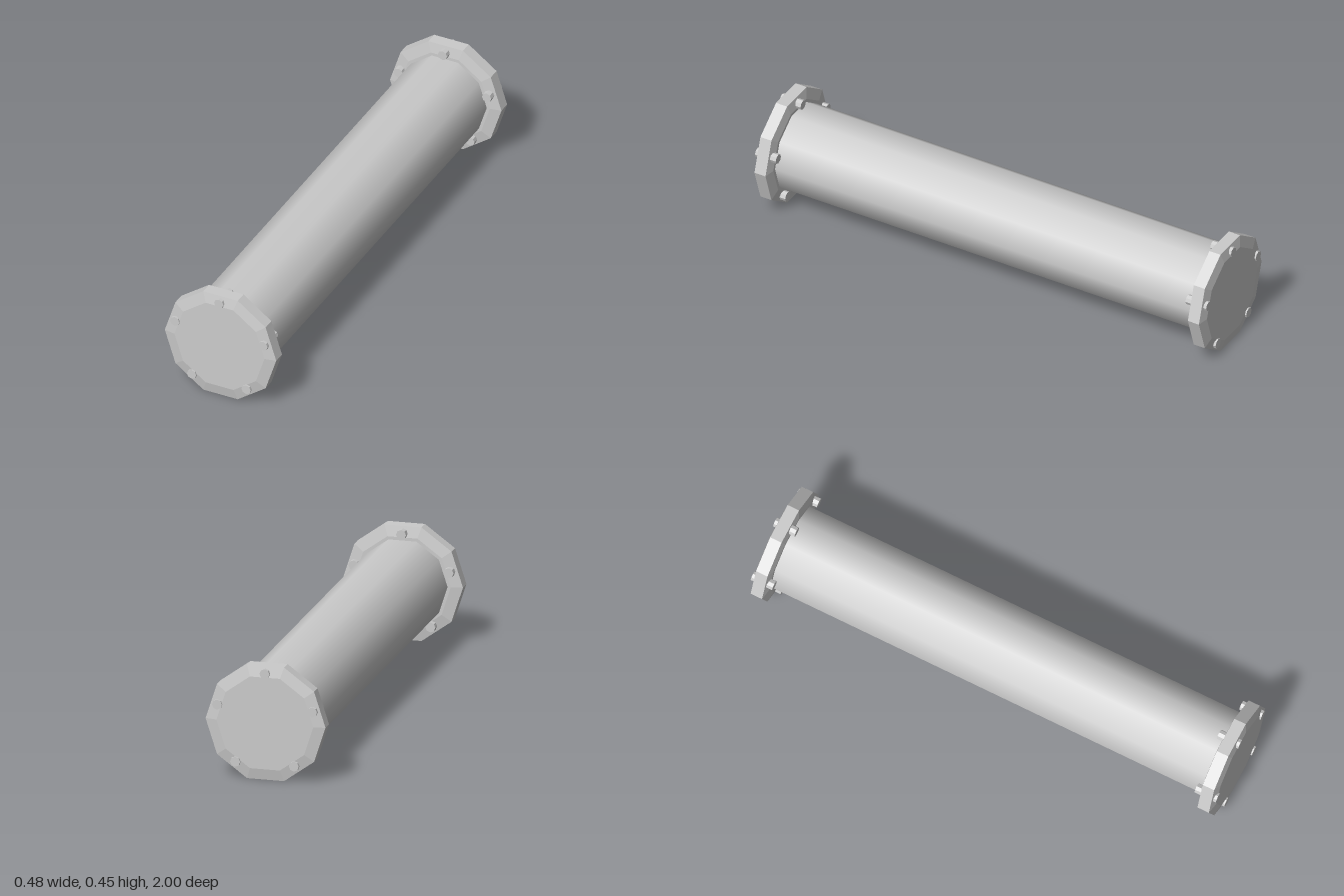
import * as THREE from 'three';

const CENTER_Y = 0.2275, SIDES = 10;

export function createModel() {
  const model = new THREE.Group();
  model.name = 'flangedPipe';
  const smooth = new THREE.MeshStandardMaterial({ color: 0xcccccc });
  const flat = new THREE.MeshStandardMaterial({ color: 0xcccccc, flatShading: true });

  // Ten-sided pipe body, smooth along its length
  const pipeGeo = new THREE.CylinderGeometry(0.18, 0.18, 1.9, SIDES, 1, false, Math.PI / 2);
  pipeGeo.rotateX(Math.PI / 2);
  const pipe = new THREE.Mesh(pipeGeo, smooth);
  pipe.name = 'pipe';
  pipe.position.y = CENTER_Y;
  model.add(pipe);

  // Closed end plate with shallow bevels on both faces
  const profile = [[0, 0.928], [0.193, 0.928], [0.239, 0.936], [0.239, 0.985], [0.193, 0.994], [0, 0.994]]
    .map(([r, z]) => new THREE.Vector2(r, z));
  const flangeGeo = new THREE.LatheGeometry(profile, SIDES, Math.PI / 2);
  flangeGeo.rotateX(Math.PI / 2);

  // Bolt running through the plate
  const boltGeo = new THREE.CylinderGeometry(0.02, 0.02, 0.092, 8);
  boltGeo.rotateX(Math.PI / 2);

  for (const [name, turn] of [['front', 0], ['back', Math.PI]]) {
    const end = new THREE.Group();
    end.name = name + 'End';
    end.position.y = CENTER_Y;
    end.rotation.y = turn;

    const flange = new THREE.Mesh(flangeGeo, flat);
    flange.name = name + 'Flange';
    end.add(flange);

    // Five bolts, the first at the top
    for (let i = 0; i < 5; i++) {
      const a = Math.PI / 2 + (i * Math.PI * 2) / 5;
      const bolt = new THREE.Mesh(boltGeo, flat);
      bolt.name = name + 'Bolt' + (i + 1);
      bolt.position.set(0.199 * Math.cos(a), 0.199 * Math.sin(a), 0.954);
      end.add(bolt);
    }
    model.add(end);
  }
  return model;
}
